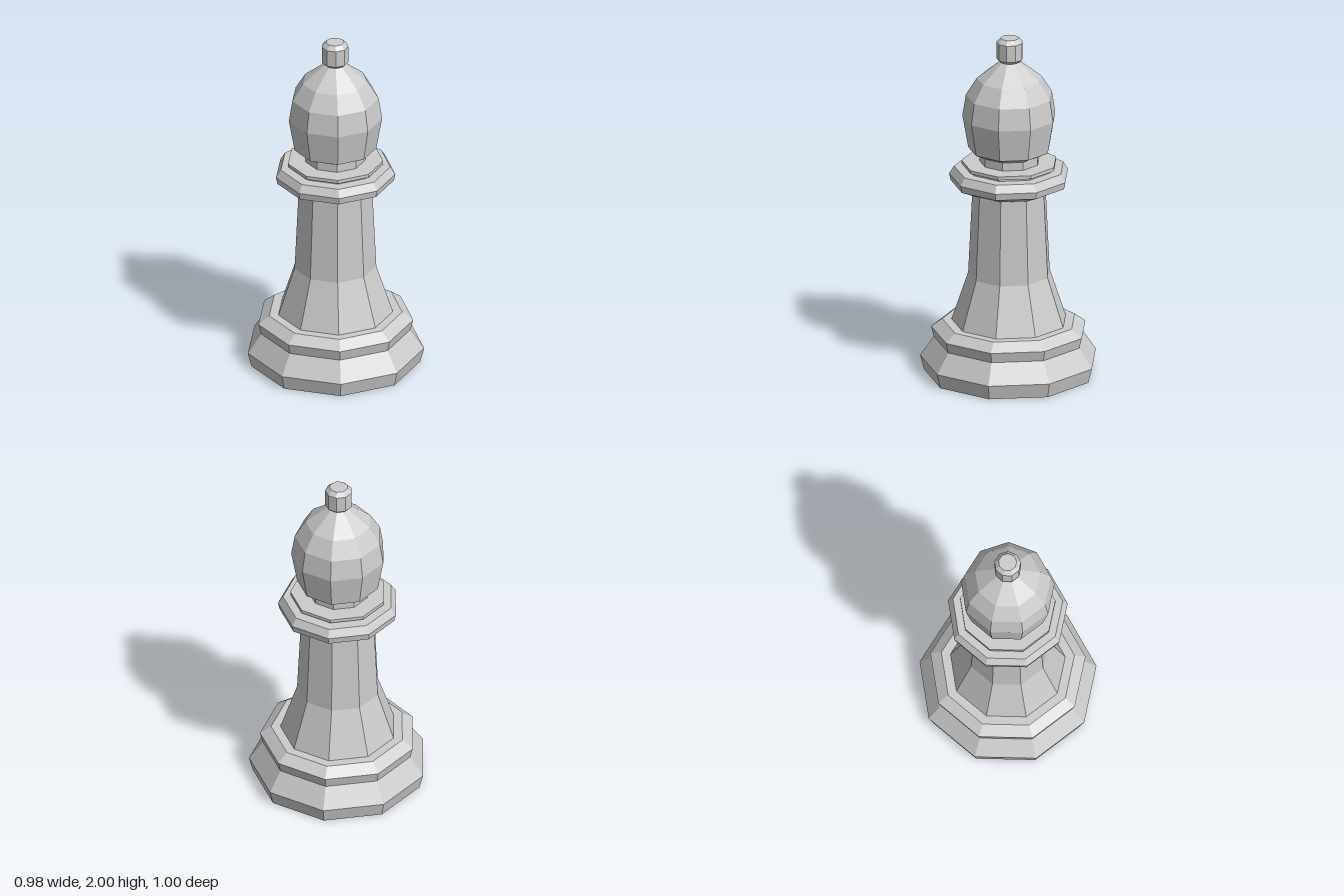
import * as THREE from 'three';

const SIDES = 9;

export function createModel() {
  const model = new THREE.Group();
  model.name = 'chessBishop';
  const material = new THREE.MeshStandardMaterial({ color: 0xcccccc, flatShading: true });

  // Each part is a closed nine-sided turning; profile is [radius, height] from bottom to top
  const turn = (name, profile) => {
    const points = [
      [0, profile[0][1]],
      ...profile,
      [0, profile[profile.length - 1][1]],
    ].map(([r, y]) => new THREE.Vector2(r, y));
    const mesh = new THREE.Mesh(new THREE.LatheGeometry(points, SIDES, -Math.PI / 2), material);
    mesh.name = name;
    mesh.position.x = 0.015; // centres the odd-sided outline
    model.add(mesh);
  };

  // Stepped foot
  turn('base', [[0.485, 0], [0.507, 0.085], [0.43, 0.2], [0.445, 0.26], [0.382, 0.307]]);

  // Flared stem
  turn('stem', [[0.33, 0.305], [0.235, 0.59], [0.21, 1.11]]);

  // Collar with a thin raised disc
  turn('collar', [[0.235, 1.095], [0.335, 1.14], [0.343, 1.18], [0.315, 1.225]]);
  turn('discSupport', [[0.25, 1.22], [0.25, 1.242]]);
  turn('disc', [[0.273, 1.24], [0.273, 1.26]]);

  // Neck and rounded head
  turn('neck', [[0.172, 1.255], [0.172, 1.315]]);
  turn('head', [[0.172, 1.308], [0.235, 1.34], [0.268, 1.53], [0.248, 1.655], [0.187, 1.755], [0.055, 1.862]]);

  // Small knob on top
  turn('finial', [[0.055, 1.858], [0.076, 1.877], [0.076, 1.975], [0.052, 2]]);

  return model;
}
